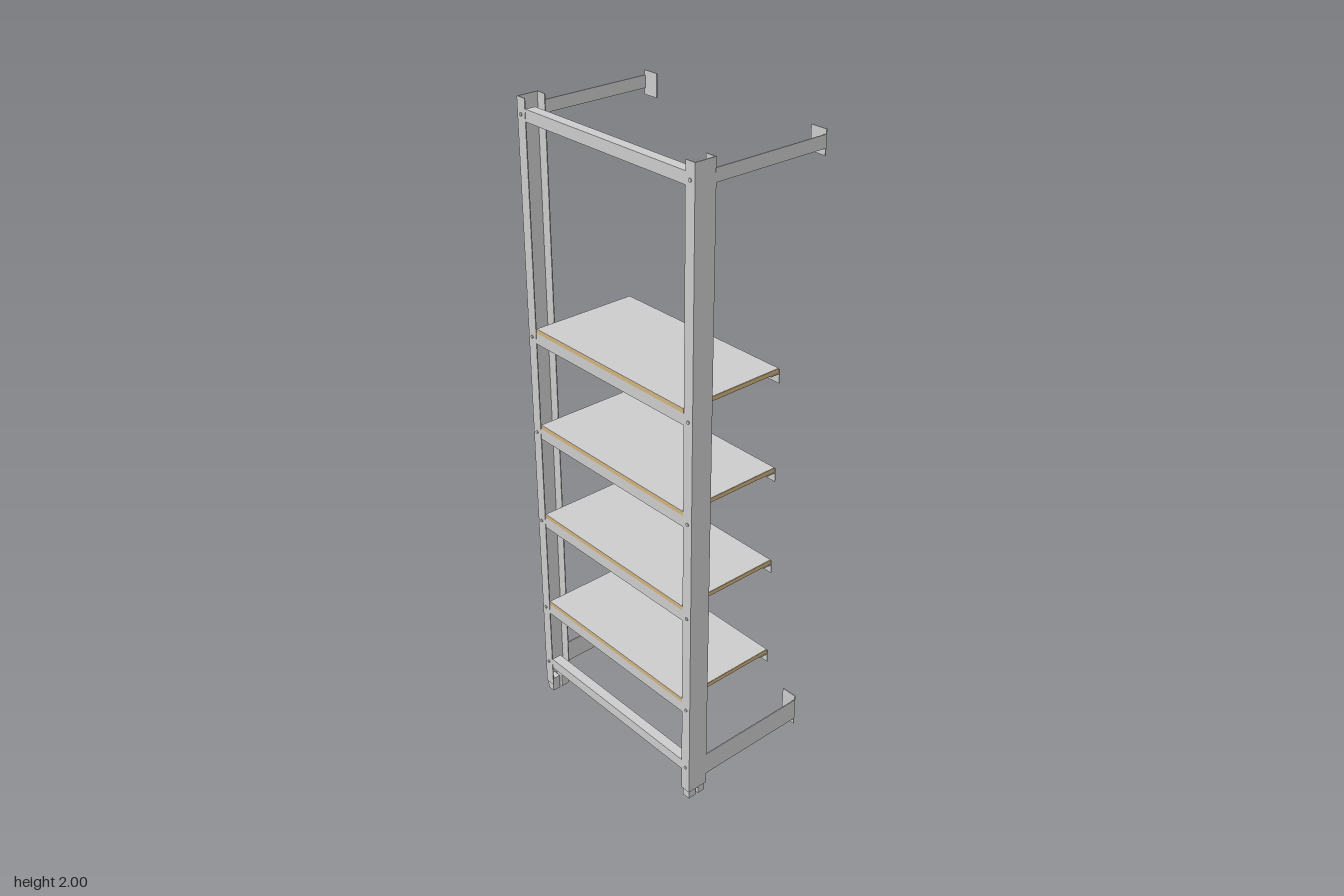
import * as THREE from 'three';

const grey = new THREE.MeshStandardMaterial({ color: 0xcccccc, side: THREE.DoubleSide });
const wood = new THREE.MeshStandardMaterial({ color: 0xd2b27c });
const T = 0.003; // sheet thickness
const W = 0.318; // half span between the uprights

// Box given by its minimum and maximum corners
function box(parent, name, [x0, y0, z0], [x1, y1, z1], material = grey) {
  const mesh = new THREE.Mesh(new THREE.BoxGeometry(x1 - x0, y1 - y0, z1 - z0), material);
  mesh.position.set((x0 + x1) / 2, (y0 + y1) / 2, (z0 + z1) / 2);
  mesh.name = name;
  parent.add(mesh);
  return mesh;
}

// Channel bar between the uprights, open towards the back
function crossbar(y) {
  const z0 = 0.188, z1 = 0.221, h = 0.035;
  const s = new THREE.Shape([
    [z0, y], [z1, y], [z1, y + h], [z0, y + h],
    [z0, y + h - T], [z1 - T, y + h - T], [z1 - T, y + T], [z0, y + T],
  ].map(([z, v]) => new THREE.Vector2(-z, v)));
  const g = new THREE.ExtrudeGeometry(s, { depth: 2 * W, bevelEnabled: false });
  g.rotateY(Math.PI / 2).translate(-W, 0, 0);
  const mesh = new THREE.Mesh(g, grey);
  mesh.name = 'crossbar';
  return mesh;
}

// Upright: channel open towards the inside
function upright(side) {
  const xo = 0.352, xi = 0.318, z0 = 0.153, z1 = 0.222;
  const s = new THREE.Shape([
    [xi, z0], [xo, z0], [xo, z1], [xi, z1],
    [xi, z1 - T], [xo - T, z1 - T], [xo - T, z0 + T], [xi, z0 + T],
  ].map(([x, z]) => new THREE.Vector2(side * x, -z)));
  const g = new THREE.ExtrudeGeometry(s, { depth: 1.972, bevelEnabled: false });
  g.rotateX(-Math.PI / 2).translate(0, 0.028, 0);
  const mesh = new THREE.Mesh(g, grey);
  mesh.name = 'upright';
  return mesh;
}

// Shelf board with a perforated angle under its back edge
function shelf(top) {
  const group = new THREE.Group();
  group.name = 'shelf';
  const under = top - 0.014;
  box(group, 'board', [-0.316, under, -0.126], [0.316, top - 0.001, 0.221], wood);
  box(group, 'boardTop', [-0.315, top - 0.001, -0.126], [0.315, top, 0.221]);
  box(group, 'angleFoot', [-W, under - T, -0.126], [W, under, -0.095]);

  const y0 = top - 0.046, y1 = top - 0.003;
  const s = new THREE.Shape([
    new THREE.Vector2(-W, y0), new THREE.Vector2(W, y0),
    new THREE.Vector2(W, y1), new THREE.Vector2(-W, y1),
  ]);
  for (let i = 0; i < 13; i++) {
    const x = -0.288 + i * 0.048, y = top - 0.009;
    s.holes.push(new THREE.Path([
      new THREE.Vector2(x - 0.008, y - 0.003), new THREE.Vector2(x - 0.008, y + 0.003),
      new THREE.Vector2(x + 0.008, y + 0.003), new THREE.Vector2(x + 0.008, y - 0.003),
    ]));
  }
  const face = new THREE.Mesh(new THREE.ExtrudeGeometry(s, { depth: 0.002, bevelEnabled: false }), grey);
  face.position.z = -0.1285;
  face.name = 'angleFace';
  group.add(face);
  return group;
}

export function createModel() {
  const model = new THREE.Group();
  model.name = 'shelfRack';

  const shelfTops = [0.37, 0.70, 1.015, 1.33];
  const barHeights = [0.10, ...shelfTops.map((t) => t - 0.049), 1.936];
  for (const y of barHeights) model.add(crossbar(y));
  for (const t of shelfTops) model.add(shelf(t));

  for (const side of [1, -1]) {
    model.add(upright(side));
    const part = (name, x0, x1, y0, y1, z0, z1) => box(model, name,
      [Math.min(side * x0, side * x1), y0, z0], [Math.max(side * x0, side * x1), y1, z1]);

    // Two feet in the bottom of each upright
    part('foot', 0.322, 0.349, 0, 0.05, 0.157, 0.183);
    part('foot', 0.322, 0.349, 0, 0.05, 0.192, 0.219);

    // Wall arms with end plates: [arm bottom, arm top, plate bottom, plate top]
    for (const [a, b, c, d] of [[0.065, 0.14, 0.045, 0.156], [1.935, 1.972, 1.916, 1.986]]) {
      part('wallArm', 0.349, 0.3525, a, b, -0.223, 0.156);
      part('wallPlate', 0.30, 0.3525, c, d, -0.226, -0.223);
    }

    // Bolts through the front of the upright
    for (const y of barHeights) {
      const bolt = new THREE.Mesh(new THREE.CylinderGeometry(0.005, 0.005, 0.006, 12), grey);
      bolt.rotation.x = Math.PI / 2;
      bolt.position.set(side * 0.336, y + 0.017, 0.222);
      bolt.name = 'bolt';
      model.add(bolt);
    }
  }
  return model;
}
